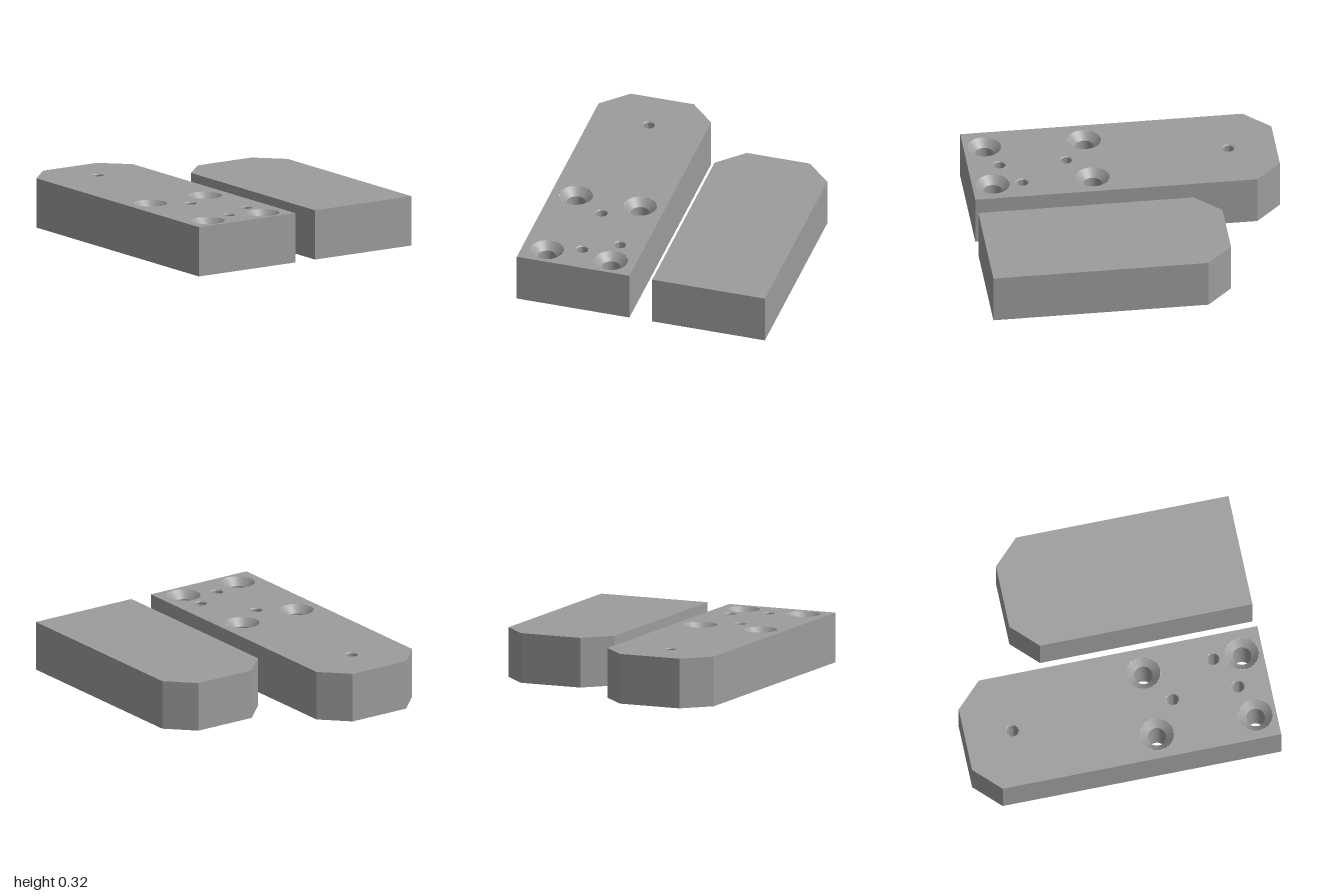
import * as THREE from 'three';
import { toCreasedNormals, mergeGeometries } from 'three/addons/utils/BufferGeometryUtils.js';

const HEIGHT = 0.325, CHAMFER = 0.167, SEGMENTS = 32, BLIND_DEPTH = 0.24;
// Hole radius and the radius of its countersunk rim
const BOLT = { name: 'boltHole', r: 0.06, rim: 0.109 };
const PIN = { name: 'pinHole', r: 0.036, rim: 0.042 };
const material = new THREE.MeshStandardMaterial({ color: 0x9c9c9c });

// Plan of a block in (x, z): square front, chamfered back corners
function blockOutline(x0, x1, back) {
  const c = CHAMFER;
  return [[x0, 1], [x1, 1], [x1, back + c], [x1 - c, back], [x0 + c, back], [x0, back + c]];
}

// Flat face pierced by holes; side is 1 for the top, -1 for the bottom
function cap(outline, holes, side) {
  const shape = new THREE.Shape(outline.map(([x, z]) => new THREE.Vector2(x, -side * z)));
  for (const { x, z, r, rim } of holes) {
    const radius = side > 0 ? rim : r;
    shape.holes.push(new THREE.Path().absarc(x, -side * z, radius, 0, Math.PI * 2, true));
  }
  return new THREE.ShapeGeometry(shape, SEGMENTS)
    .rotateX(-side * Math.PI / 2)
    .translate(0, side > 0 ? HEIGHT : 0, 0)
    .toNonIndexed();
}

// Vertical walls following the outline
function walls(outline) {
  const positions = [], uvs = [];
  outline.forEach(([ax, az], i) => {
    const [bx, bz] = outline[(i + 1) % outline.length];
    positions.push(ax, 0, az, bx, 0, bz, bx, HEIGHT, bz, ax, 0, az, bx, HEIGHT, bz, ax, HEIGHT, az);
    uvs.push(0, 0, 1, 0, 1, 1, 0, 0, 1, 1, 0, 1);
  });
  const geometry = new THREE.BufferGeometry();
  geometry.setAttribute('position', new THREE.Float32BufferAttribute(positions, 3));
  geometry.setAttribute('uv', new THREE.Float32BufferAttribute(uvs, 2));
  geometry.computeVertexNormals();
  return geometry;
}

// Inward-facing hole lining: countersunk through hole, or blind hole open only below
function lining({ name, x, z, r, rim }, through) {
  const profile = through
    ? [[rim, HEIGHT], [r, HEIGHT - (rim - r)], [r, 0]]
    : [[0, BLIND_DEPTH], [r, BLIND_DEPTH], [r, 0]];
  const points = profile.map(([radius, y]) => new THREE.Vector2(radius, y));
  const lathe = new THREE.LatheGeometry(points, SEGMENTS);
  const mesh = new THREE.Mesh(toCreasedNormals(lathe, 0.5), material);
  mesh.name = name;
  mesh.position.set(x, 0, z);
  return mesh;
}

function createBlock(name, centre, back, rearPinZ, through) {
  const group = new THREE.Group();
  group.name = name;
  const outline = blockOutline(centre - 0.379, centre + 0.379, back);

  // Four bolt holes and four smaller pin holes
  const boltSpots = [[-0.215, 0.216], [0.215, 0.216], [-0.215, 0.865], [0.215, 0.865]];
  const pinSpots = [[0, rearPinZ], [0, 0.363], [0, 0.795], [0.217, 0.675]];
  const place = (hole) => ([dx, z]) => ({ ...hole, x: centre + dx, z });
  const holes = [...boltSpots.map(place(BOLT)), ...pinSpots.map(place(PIN))];

  const body = new THREE.Mesh(mergeGeometries([
    cap(outline, through ? holes : [], 1),
    cap(outline, holes, -1),
    walls(outline),
  ]), material);
  body.name = 'blockBody';
  group.add(body, ...holes.map((hole) => lining(hole, through)));
  return group;
}

export function createModel() {
  const model = new THREE.Group();
  model.name = 'clampBlocks';
  model.add(createBlock('longBlock', -0.456, -1, -0.69, true));
  model.add(createBlock('shortBlock', 0.455, -0.565, -0.255, false));
  return model;
}
